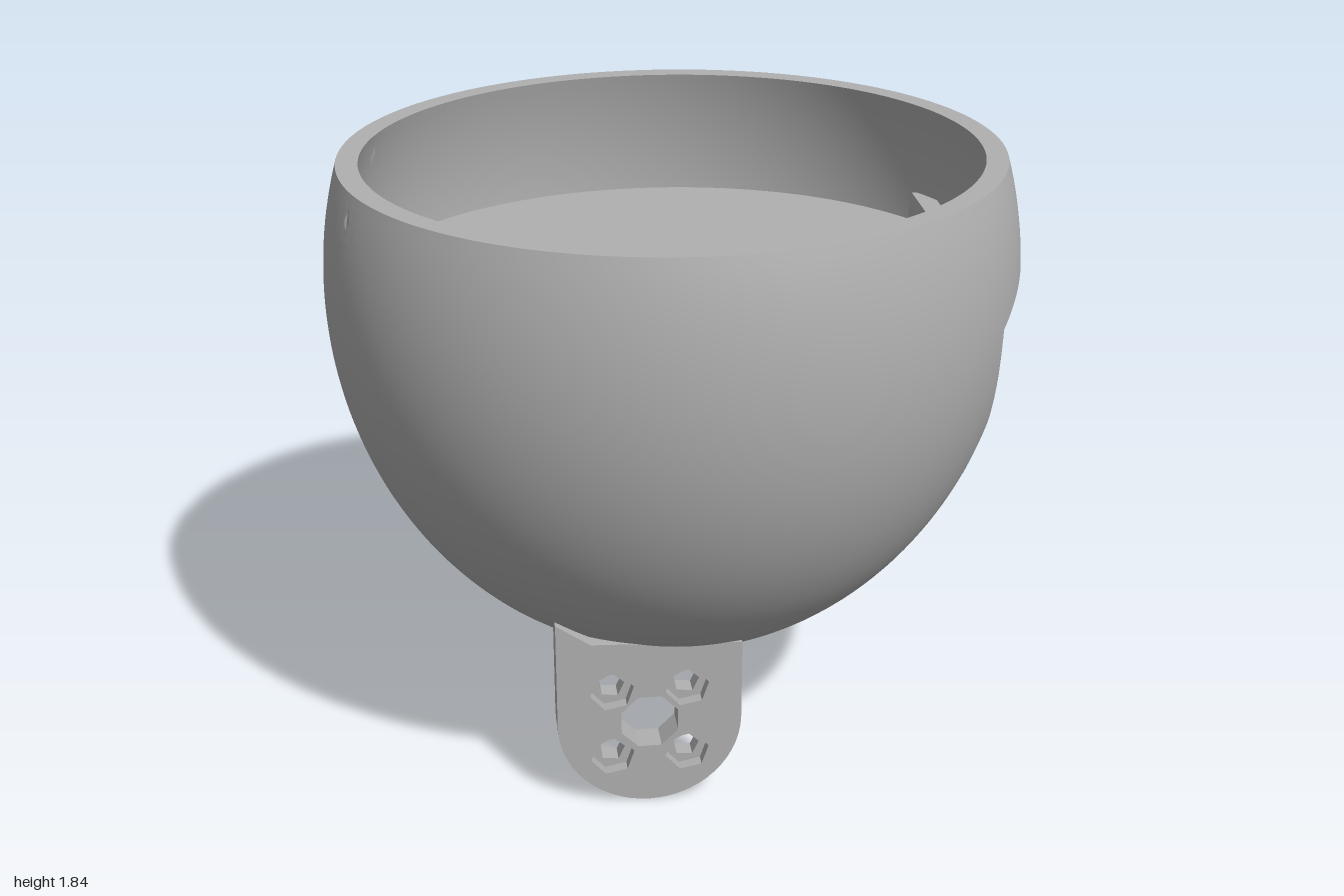
import * as THREE from 'three';
import { mergeVertices } from 'three/addons/utils/BufferGeometryUtils.js';

const CY = 1.47, TOP = 1.84;               // ellipsoid centre height, rim height
const OUT = [1, 1.14, 0.915], INN = [0.94, 1.08, 0.855];
const FACE = 0.86, LIP = 0.8;              // outer and inner planes of the flat side panel
const grey = new THREE.MeshStandardMaterial({ color: 0xb0b0b0, side: THREE.DoubleSide });
grey.name = 'grey';

// ---- implicit cuts: positive means keep ----
const roundRect = (u, v, hu, hv, r) => {
  const a = Math.abs(u) - hu + r, b = Math.abs(v) - hv + r;
  return Math.hypot(Math.max(a, 0), Math.max(b, 0)) + Math.min(Math.max(a, b), 0) - r;
};
const ceiling = z => 1.57 - 0.6 * z * z;
const recessCut = p => Math.max(FACE - p[0], p[1] - ceiling(p[2]));
const windowCut = p => p[0] < 0 ? 1 : roundRect(p[2], p[1] - 1.095, 0.375, 0.155, 0.06);
const cableCut = p => p[1] > 1.3 ? 1 : Math.hypot(p[0] + 0.62, p[2]) - 0.12;
const bottomCut = R => p => p[1] > 1 ? 1
  : roundRect(p[0] / R[0] + 0.115, p[2] / R[2] * 0.915, 0.355, 0.36, 0.08);
const pinCut = p => p[0] > 0 ? 1
  : Math.abs(Math.abs(p[2]) - 0.285) + 0.6 * Math.abs(p[1] - 1.77) - 0.018;
const inside = R => p => 1 - (p[0] / R[0]) ** 2 - ((p[1] - CY) / R[1]) ** 2 - (p[2] / R[2]) ** 2;

// ---- surface helpers ----
const lerp = (a, b, t) => a.map((v, i) => v + (b[i] - v) * t);

function grid(fn, nu, nv) {
  const tris = [];
  for (let i = 0; i < nu; i++) for (let j = 0; j < nv; j++) {
    const a = fn(i / nu, j / nv), b = fn((i + 1) / nu, j / nv);
    const c = fn((i + 1) / nu, (j + 1) / nv), d = fn(i / nu, (j + 1) / nv);
    tris.push([a, b, c], [a, c, d]);
  }
  return tris;
}

// keep the part of every triangle where f > 0
function clip(tris, f) {
  const out = [];
  for (const t of tris) {
    const d = t.map(f), poly = [];
    t.forEach((p, i) => {
      const k = (i + 1) % 3;
      if (d[i] > 0) poly.push(p);
      if (d[i] > 0 !== d[k] > 0) poly.push(lerp(p, t[k], d[i] / (d[i] - d[k])));
    });
    for (let i = 2; i < poly.length; i++) out.push([poly[0], poly[i - 1], poly[i]]);
  }
  return out;
}

// split triangles around the small pin holes
const refine = tris => tris.flatMap(t => {
  const c = [0, 1, 2].map(i => (t[0][i] + t[1][i] + t[2][i]) / 3);
  if (c[0] > 0 || Math.hypot(Math.abs(c[2]) - 0.285, c[1] - 1.77) > 0.07) return [t];
  const [a, b, d] = t, ab = lerp(a, b, 0.5), bd = lerp(b, d, 0.5), da = lerp(d, a, 0.5);
  return [[a, ab, da], [ab, b, bd], [da, bd, d], [ab, bd, da]];
});

function toMesh(name, tris) {
  let g = new THREE.BufferGeometry();
  g.setAttribute('position', new THREE.Float32BufferAttribute(tris.flat(2), 3));
  g = mergeVertices(g, 1e-4);
  g.computeVertexNormals();
  return named(name, g);
}
function named(name, g) {
  const m = new THREE.Mesh(g, grey);
  m.name = name;
  return m;
}

function shell(R, flip) {
  const start = Math.acos((TOP - CY) / R[1]);
  let t = grid((u, v) => {
    const a = (u % 1) * Math.PI * 2, p = start + (Math.PI - start) * v;
    return [R[0] * Math.sin(p) * Math.cos(a), CY + R[1] * Math.cos(p), R[2] * Math.sin(p) * Math.sin(a)];
  }, 128, 64);
  t = refine(refine(t));
  for (const f of [recessCut, windowCut, cableCut, bottomCut(R), pinCut]) t = clip(t, f);
  return flip ? t.map(([a, b, c]) => [a, c, b]) : t;
}
const surfX = (R, y, z) => R[0] * Math.sqrt(Math.max(0, 1 - ((y - CY) / R[1]) ** 2 - (z / R[2]) ** 2));
const surfY = (R, x, z) => CY - R[1] * Math.sqrt(Math.max(0, 1 - (x / R[0]) ** 2 - (z / R[2]) ** 2));

// outline of a rounded rectangle as points
function rectLoop(hu, hv, r) {
  const s = new THREE.Shape();
  s.absarc(hu - r, hv - r, r, 0, Math.PI / 2);
  s.absarc(r - hu, hv - r, r, Math.PI / 2, Math.PI);
  s.absarc(r - hu, r - hv, r, Math.PI, Math.PI * 1.5);
  s.absarc(hu - r, r - hv, r, Math.PI * 1.5, Math.PI * 2);
  s.closePath();
  return s.getSpacedPoints(72);
}
// band joining two edges given by functions of the loop parameter
const band = (n, outer, inner) => grid((u, v) => (v < 0.5 ? outer : inner)(Math.round(u * n)), n, 1);

function polygonHole(x, y, r, n, turn = 0) {
  const p = [];
  for (let i = 0; i < n; i++) {
    const a = turn - i / n * Math.PI * 2;
    p.push(new THREE.Vector2(x + r * Math.cos(a), y + r * Math.sin(a)));
  }
  return new THREE.Path(p);
}

// mounting leg: a thin outer layer with wide hexagon pockets over a layer with small holes
function makeLeg(name, zInner, zOuter) {
  const leg = new THREE.Group();
  leg.name = name;
  const layer = (part, za, zb, r, n) => {
    const s = new THREE.Shape();
    s.moveTo(0.14, 0.27);
    s.lineTo(0.14, 0.52);
    s.lineTo(-0.3, 0.54);
    s.lineTo(-0.4, 0.61);
    s.lineTo(-0.4, 0.27);
    s.absarc(-0.13, 0.27, 0.27, Math.PI, Math.PI * 2);
    s.holes.push(polygonHole(-0.13, 0.27, 0.09, 8, Math.PI / 8));
    for (const dx of [-0.11, 0.11]) for (const dy of [-0.11, 0.11])
      s.holes.push(polygonHole(-0.13 + dx, 0.27 + dy, r, n, 0.2));
    const g = new THREE.ExtrudeGeometry(s, { depth: Math.abs(zb - za), bevelEnabled: false, curveSegments: 14 });
    g.translate(0, 0, Math.min(za, zb));
    leg.add(named(part, g));
  };
  const mid = zOuter + (zInner - zOuter) * 0.4;
  layer('pocketLayer', mid, zOuter, 0.065, 6);
  layer('holeLayer', zInner, mid, 0.04, 5);
  return leg;
}

export function createModel() {
  const model = new THREE.Group();
  model.name = 'bowlHousing';

  // bowl walls and rim
  model.add(toMesh('outerShell', shell(OUT, true)), toMesh('innerShell', shell(INN, false)));
  const rimPoint = R => i => {
    const a = i / 128 * Math.PI * 2, s = Math.sqrt(1 - ((TOP - CY) / R[1]) ** 2);
    return [R[0] * s * Math.cos(a), TOP, R[2] * s * Math.sin(a)];
  };
  model.add(toMesh('rim', band(128, rimPoint(INN), rimPoint(OUT))));

  // inner floor with the cable hole
  const floorR = Math.sqrt(1 - (0.02 / INN[1]) ** 2), pts = [];
  for (let i = 0; i < 96; i++) {
    const a = i / 96 * Math.PI * 2;
    pts.push(new THREE.Vector2(Math.min(0.82, 0.945 * floorR * Math.cos(a)), 0.86 * floorR * Math.sin(a)));
  }
  const floorShape = new THREE.Shape(pts);
  floorShape.holes.push(polygonHole(-0.62, 0, 0.12, 8, Math.PI / 8));
  const floor = new THREE.ExtrudeGeometry(floorShape, { depth: 0.06, bevelEnabled: false });
  floor.rotateX(-Math.PI / 2).translate(0, 1.39, 0);
  model.add(named('floor', floor));

  // flat side panel with its window, and the lip above the floor
  const panel = (x, R, flip) => {
    let t = grid((u, v) => [x, 0.6 + 0.94 * v, (u - 0.5) * 1.2], 40, 32);
    for (const f of [inside(R), windowCut]) t = clip(t, f);
    return flip ? t.map(([a, b, c]) => [a, c, b]) : t;
  };
  model.add(toMesh('panelFront', panel(FACE, OUT, true)), toMesh('panelBack', panel(LIP, INN, false)));
  const lipTop = new THREE.BoxGeometry(FACE - LIP, 0.01, 0.84);
  lipTop.translate((FACE + LIP) / 2, 1.54, 0);
  model.add(named('lipTop', lipTop));

  // edges of the cuts
  const win = rectLoop(0.375, 0.155, 0.06);
  const winEdge = (R, x) => i => {
    const p = win[i], y = 1.095 + p.y;
    return [Math.min(x, surfX(R, y, p.x)), y, p.x];
  };
  model.add(toMesh('windowEdge', band(72, winEdge(OUT, FACE), winEdge(INN, LIP))));

  const slotEdge = R => i => {
    const z = (i / 32 - 0.5) * 0.88, y = ceiling(z);
    return [Math.max(FACE, surfX(R, y, z)), y, z];
  };
  model.add(toMesh('slotCeiling', band(32, slotEdge(OUT), slotEdge(INN))));

  const open = rectLoop(0.355, 0.36, 0.08);
  const openEdge = R => i => {
    const x = (open[i].x - 0.115) * R[0], z = open[i].y * R[2] / 0.915;
    return [x, surfY(R, x, z), z];
  };
  model.add(toMesh('bottomOpeningEdge', band(72, openEdge(OUT), openEdge(INN))));

  const cableEdge = R => i => {
    const a = i / 32 * Math.PI * 2, x = -0.62 + 0.12 * Math.cos(a), z = 0.12 * Math.sin(a);
    return [x, surfY(R, x, z), z];
  };
  model.add(toMesh('cableHoleEdge', band(32, cableEdge(OUT), cableEdge(INN))));

  // mounting legs
  model.add(makeLeg('frontLeg', 0.41, 0.5), makeLeg('backLeg', -0.38, -0.465));
  return model;
}
